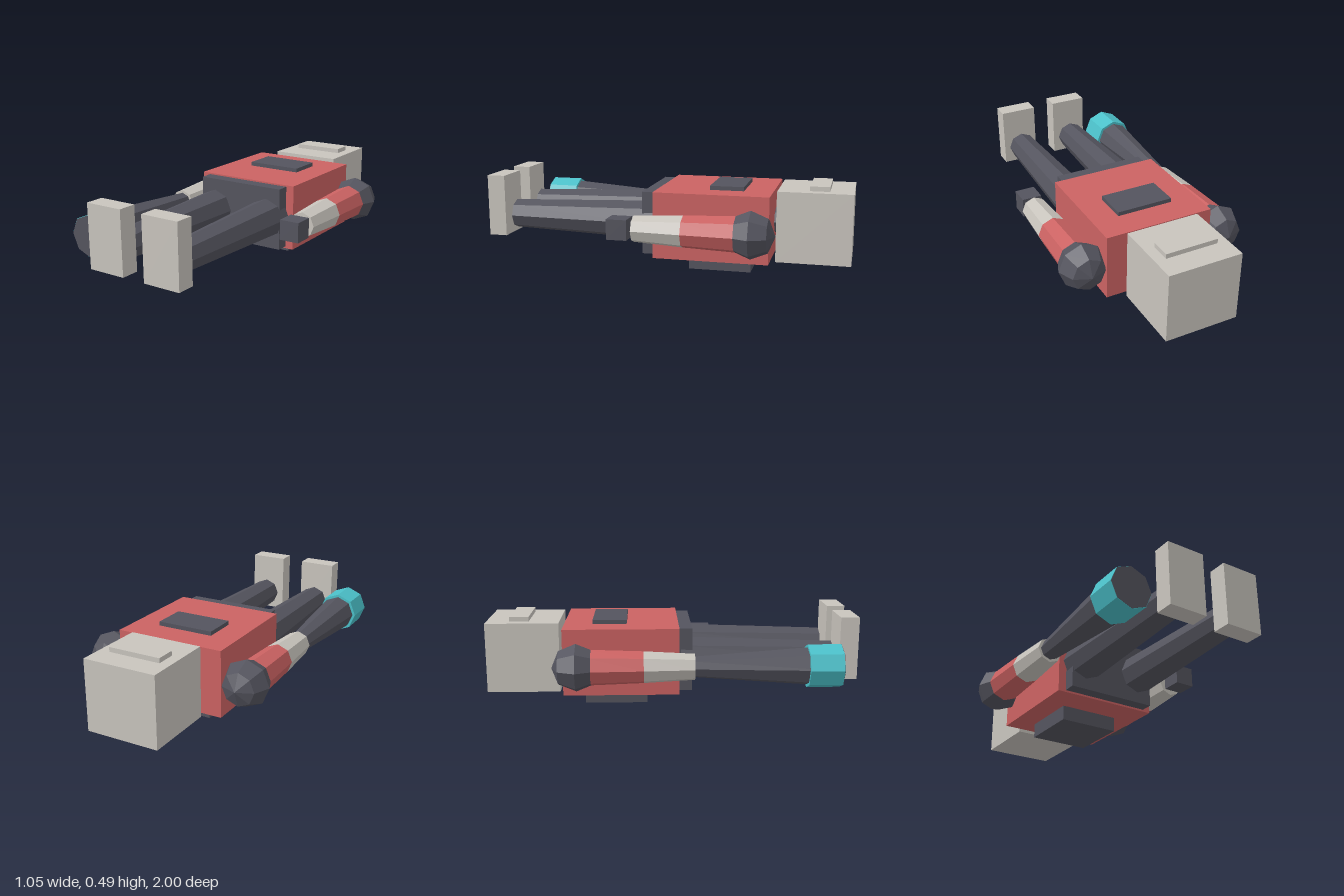
import * as THREE from 'three';

export function createModel() {
  const mat = (name, color) => {
    const m = new THREE.MeshStandardMaterial({ color, flatShading: true });
    m.name = name;
    return m;
  };
  const red = mat('red', 0xcb6262);
  const dark = mat('dark grey', 0x54545e);
  const light = mat('light grey', 0xc8c4bd);
  const cyan = mat('cyan', 0x4bc0c9);

  const model = new THREE.Group();
  model.name = 'lyingRobot';
  const midY = 0.262; // height of the limb axes

  const add = (name, geometry, material) => {
    const mesh = new THREE.Mesh(geometry, material);
    mesh.name = name;
    model.add(mesh);
    return mesh;
  };

  // Box given by its lower and upper corner
  const box = (name, material, [x0, y0, z0], [x1, y1, z1]) =>
    add(name, new THREE.BoxGeometry(x1 - x0, y1 - y0, z1 - z0), material)
      .position.set((x0 + x1) / 2, (y0 + y1) / 2, (z0 + z1) / 2);

  // Eight-sided tapered limb running along z
  const limb = (name, material, x, z0, r0, z1, r1) =>
    add(name, new THREE.CylinderGeometry(r1, r0, z1 - z0, 8).rotateX(Math.PI / 2), material)
      .position.set(x, midY, (z0 + z1) / 2);

  // Head, face plate and neck
  box('head', light, [-0.2, 0.075, -1], [0.2, 0.455, -0.605]);
  box('facePlate', light, [-0.143, 0.44, -0.875], [0.143, 0.48, -0.77]);
  limb('neck', dark, 0, -0.63, 0.07, -0.56, 0.07);

  // Body
  box('torso', red, [-0.3, 0.082, -0.58], [0.3, 0.441, 0.04]);
  box('chestPlate', dark, [-0.155, 0.42, -0.425], [0.155, 0.463, -0.24]);
  box('backpack', dark, [-0.17, 0, -0.47], [0.17, 0.1, -0.13]);
  box('hips', dark, [-0.255, 0.093, 0.03], [0.255, 0.433, 0.11]);

  for (const s of [-1, 1]) {
    const side = s > 0 ? 'left' : 'right';

    // Arms
    add(side + 'Shoulder', new THREE.SphereGeometry(0.127, 8, 4).rotateX(Math.PI / 2), dark)
      .position.set(s * 0.4, midY, -0.5);
    limb(side + 'UpperArm', red, s * 0.4, -0.45, 0.096, -0.15, 0.085);
    limb(side + 'Forearm', light, s * 0.4, -0.15, 0.085, 0.115, 0.07);

    // Legs and feet
    limb(side + 'Leg', dark, s * 0.17, 0.05, 0.109, 0.875, 0.08);
    const fx = s * 0.17;
    box(side + 'Foot', light, [fx - 0.105, 0.152, 0.9], [fx + 0.105, 0.491, 1]);
  }

  // Left hand and right arm cannon
  box('leftFist', dark, [0.345, 0.208, 0.14], [0.455, 0.317, 0.25]);
  limb('cannonBarrel', dark, -0.4, 0.1, 0.054, 0.877, 0.113);
  limb('cannonRing', cyan, -0.4, 0.7, 0.115, 0.875, 0.115);

  return model;
}
